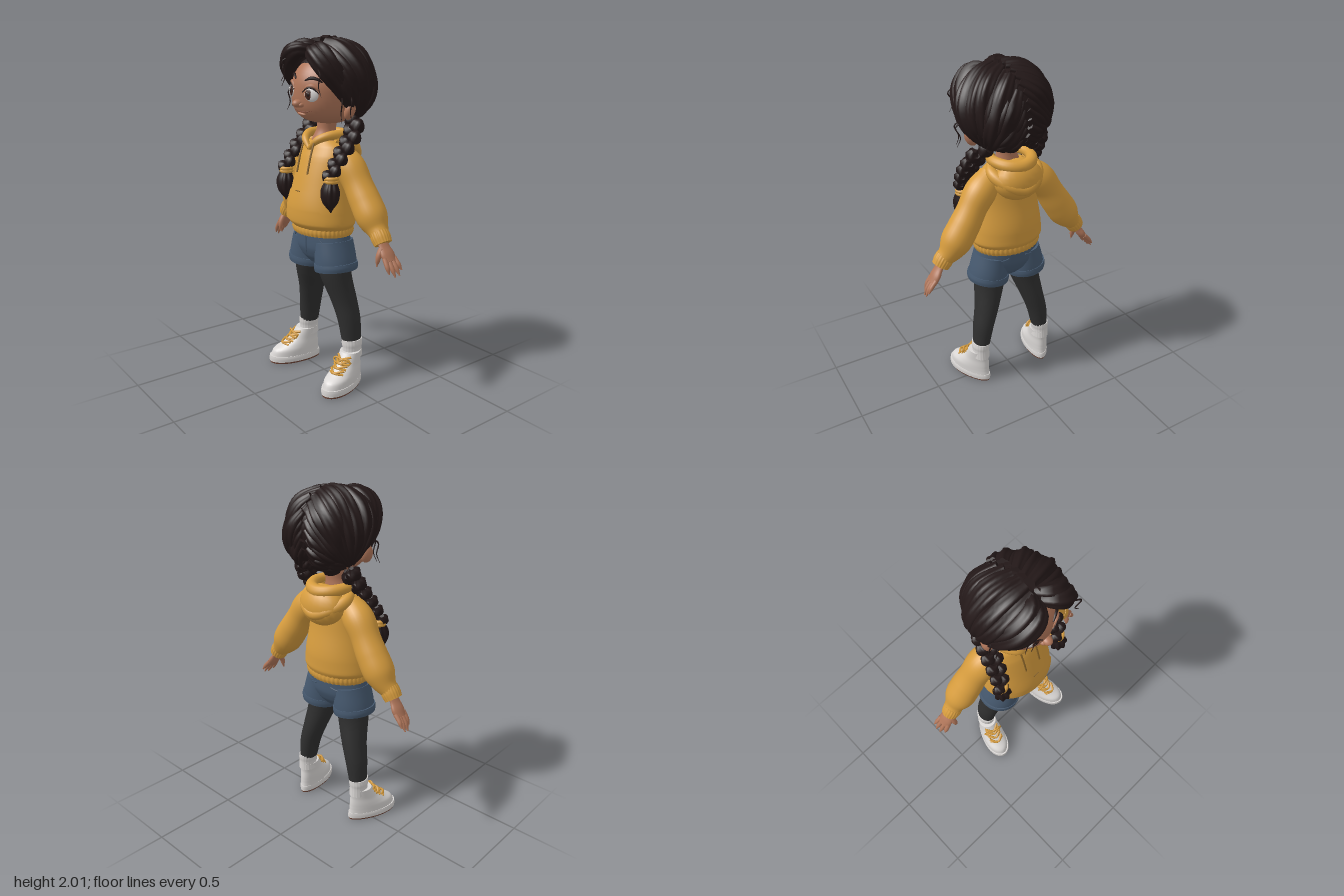
import * as THREE from 'three';
import { ParametricGeometry } from 'three/addons/geometries/ParametricGeometry.js';

const V = (x, y, z) => new THREE.Vector3(x, y, z);
const mat = (name, color, extra = {}) => new THREE.MeshStandardMaterial({ name, color, ...extra });
const M = {
  hair: mat('dark hair', 0x231818), skin: mat('skin', 0xb0765a), hoodie: mat('mustard', 0xd69c3e, { side: THREE.DoubleSide }),
  cord: mat('dark mustard', 0x8a6428), denim: mat('denim', 0x46596f), tights: mat('charcoal', 0x2f2f2f),
  white: mat('off white', 0xd9d6d4), sole: mat('brown sole', 0x6f4638), lip: mat('lip', 0x7a4436), iris: mat('iris', 0x42241c),
};

let seed = 7;
const rnd = () => (seed = (seed * 16807) % 2147483647) / 2147483647;

function add(parent, name, geo, material) {
  const m = new THREE.Mesh(geo, material);
  m.name = name;
  parent.add(m);
  return m;
}

// Closed, capped surface through rings of points
function skin(rows) {
  const n = rows[0].length, pos = [], idx = [];
  rows.forEach(r => r.forEach(p => pos.push(p.x, p.y, p.z)));
  for (let i = 0; i < rows.length - 1; i++) for (let j = 0; j < n; j++) {
    const a = i * n + j, b = i * n + (j + 1) % n, c = a + n, d = b + n;
    idx.push(a, b, c, b, d, c);
  }
  [rows[0], rows[rows.length - 1]].forEach((r, end) => {
    const base = pos.length / 3, c = V(0, 0, 0);
    r.forEach(p => { pos.push(p.x, p.y, p.z); c.addScaledVector(p, 1 / n); });
    pos.push(c.x, c.y, c.z);
    for (let j = 0; j < n; j++) {
      const a = base + j, b = base + (j + 1) % n;
      end ? idx.push(base + n, a, b) : idx.push(base + n, b, a);
    }
  });
  const g = new THREE.BufferGeometry();
  g.setAttribute('position', new THREE.Float32BufferAttribute(pos, 3));
  g.setIndex(idx);
  g.computeVertexNormals();
  return g;
}

// Smooth interpolation of sections [y, cx, cz, rx, rz]
function sectionAt(list) {
  const a = new THREE.CatmullRomCurve3(list.map(r => V(r[0], r[1], r[2])));
  const b = new THREE.CatmullRomCurve3(list.map(r => V(r[3], r[4], 0)));
  return t => { const p = a.getPoint(t), q = b.getPoint(t); return [p.x, p.y, p.z, q.x, q.y]; };
}

// Lofted rings; egg widens the front half
function rings(list, { radial = 32, ripple = 0, n = 0, slope = 0, steps = 5, egg = 0 } = {}) {
  const at = sectionAt(list), rows = [], count = (list.length - 1) * steps;
  for (let i = 0; i <= count; i++) {
    const [y, cx, cz, rx, rz] = at(i / count);
    rows.push(Array.from({ length: radial }, (_, j) => {
      const q = j / radial * Math.PI * 2, k = 1 + ripple * Math.cos(n * q);
      const x = rx * k * Math.cos(q) * (1 - egg * Math.sin(q));
      return V(cx + x, y + slope * x, cz - rz * k * Math.sin(q));
    }));
  }
  return skin(rows);
}

// Tapered sweep along a curve; up fixes the wide axis, flat squashes the other
function sweep(pts, rad, { seg = 16, radial = 12, ripple = 0, n = 5, up = null, flat = 1, twist = 0 } = {}) {
  const curve = new THREE.CatmullRomCurve3(pts), f = curve.computeFrenetFrames(seg), rows = [];
  const r = Array.isArray(rad) ? new THREE.SplineCurve(rad.map((v, i) => new THREE.Vector2(i, v))) : null;
  for (let i = 0; i <= seg; i++) {
    const t = i / seg, p = curve.getPointAt(t), T = f.tangents[i];
    const N = up ? up.clone().addScaledVector(T, -up.dot(T)).normalize() : f.normals[i];
    const B = T.clone().cross(N), R = r ? Math.max(r.getPoint(t).y, 0.0008) : rad;
    rows.push(Array.from({ length: radial }, (_, j) => {
      const q = j / radial * Math.PI * 2, k = R * (1 + ripple * Math.cos(n * q + twist * t));
      return p.clone().addScaledVector(N, k * Math.cos(q)).addScaledVector(B, k * flat * Math.sin(q));
    }));
  }
  return skin(rows);
}
const line = (pts, r) => sweep(pts, r, { seg: 12, radial: 6 });

function ball(parent, name, material, p, s, rot = [0, 0, 0]) {
  const m = add(parent, name, new THREE.SphereGeometry(1, 22, 14), material);
  m.position.set(...p); m.scale.set(...s); m.rotation.set(...rot);
}

// Face surface: round skull, fuller jaw
const HX = 0.187, HY = 0.19, HZ = 0.2;
const faceR = v => { const e = v < 0 ? 2.9 : 2; return Math.pow(Math.max(0, 1 - Math.abs(v) ** e), 1 / e); };
const onFace = (x, y, off = 0) => V(x, y, HZ * Math.sqrt(Math.max(0, faceR(y / HY) ** 2 - (x / HX) ** 2)) + off);

function buildHead() {
  const head = new THREE.Group();
  head.name = 'head';
  const rows = [];
  for (let i = 0; i <= 30; i++) {
    const v = -Math.cos(i / 30 * Math.PI), r = Math.max(faceR(v), 0.005);
    rows.push(Array.from({ length: 40 }, (_, j) => {
      const q = j / 40 * Math.PI * 2;
      return V(HX * r * Math.cos(q), HY * v, -HZ * r * Math.sin(q));
    }));
  }
  add(head, 'face', skin(rows), M.skin);
  ball(head, 'nose', M.skin, [0.006, -0.078, 0.203], [0.026, 0.022, 0.032]);
  for (const s of [-1, 1]) {
    ball(head, 'nostril', M.skin, [0.006 + s * 0.022, -0.083, 0.194], [0.014, 0.013, 0.018]);
    ball(head, 'ear', M.skin, [s * 0.212, -0.09, 0.005], [0.028, 0.052, 0.036], [0, s * 0.4, -s * 0.25]);
    const e = onFace(s * 0.083, -0.02);
    ball(head, 'eye', M.white, [e.x, e.y, e.z - 0.006], [0.041, 0.038, 0.016], [0, s * 0.45, 0]);
    ball(head, 'iris', M.iris, [e.x - s * 0.006, e.y, e.z + 0.005], [0.027, 0.029, 0.009], [0, s * 0.4, 0]);
    ball(head, 'pupil', M.hair, [e.x - s * 0.007, e.y, e.z + 0.009], [0.014, 0.015, 0.007], [0, s * 0.4, 0]);
    ball(head, 'eyeGlint', M.white, [e.x - s * 0.007 - 0.008, e.y + 0.01, e.z + 0.014], [0.005, 0.005, 0.003]);
    const arc = (y, h, w, off) => [-1, -0.5, 0, 0.5, 1].map(k => onFace(s * 0.083 + k * w, y + h * (1 - k * k), off));
    add(head, 'eyelash', sweep(arc(-0.012, 0.03, 0.043, 0.008), [0.002, 0.005, 0.002], { radial: 8 }), M.hair);
    add(head, 'eyelid', sweep(arc(-0.005, 0.033, 0.044, 0), [0.004, 0.012, 0.004], { radial: 8 }), M.skin);
    add(head, 'eyebrow', sweep(arc(0.05, 0.017, 0.043, 0.002), [0.004, 0.009, 0.008, 0.004], { radial: 8 }), M.hair);
  }
  const smile = [-0.07, -0.04, 0, 0.04, 0.08].map(x => onFace(x + 0.004, -0.124 + 2.6 * x * x, -0.0005));
  add(head, 'mouth', sweep(smile, [0.001, 0.0025, 0.003, 0.0025, 0.001], { radial: 8 }), M.lip);
  ball(head, 'lowerLip', M.skin, [0.004, -0.136, 0.168], [0.034, 0.009, 0.014]);

  // Hair: inner cap and overlapping wavy locks combed from the parting to each braid
  ball(head, 'scalpHair', M.hair, [0, 0.05, -0.04], [0.215, 0.2, 0.2]);
  ball(head, 'napeHair', M.hair, [0, -0.075, -0.105], [0.19, 0.1, 0.1]);
  const place = (d, k) => V(d.x * 0.25 * k, d.y * 0.245 * k + 0.03, d.z * 0.225 * k - 0.02);
  for (const s of [-1, 1]) for (let i = 0; i < 16; i++) {
    const a = THREE.MathUtils.degToRad(50 + i * 12), k = 0.84 + rnd() * 0.07, phase = rnd() * 6;
    const S = V(s * 0.05, Math.sin(a), Math.cos(a)).normalize();
    const E = V(s * 0.71, -0.68 - i * 0.012, -0.24 - i * 0.015).normalize();
    const w = S.angleTo(E), pts = [];
    for (let j = 0; j <= 7; j++) {
      const t = j / 7, wave = k + 0.03 * Math.sin(t * 9 + phase) * Math.sin(t * Math.PI);
      pts.push(place(S.clone().multiplyScalar(Math.sin((1 - t) * w)).addScaledVector(E, Math.sin(t * w)).divideScalar(Math.sin(w)), wave));
    }
    const g = (i === 0 ? 0.75 : 1) * (0.92 + rnd() * 0.22);
    add(head, 'hairLock', sweep(pts, [0.03, 0.043, 0.045, 0.042, 0.032].map(r => r * g),
      { seg: 22, radial: 24, ripple: 0.11, n: 6, twist: 3 + rnd() * 4 }), M.hair);
  }
  // Full front sweep on each side of the parting
  for (const s of [-1, 1]) for (const [lift, out] of [[0, 0], [0.018, -0.045]]) {
    add(head, 'frontLock', sweep([V(s * 0.012, 0.195 + lift, 0.11 + out), V(s * 0.07, 0.198 + lift, 0.172 + out), V(s * 0.15, 0.135 + lift, 0.165 + out),
      V(s * 0.2, 0.04 + lift, 0.1 + out), V(s * 0.212, -0.06, 0.02 + out)], [0.028, 0.046, 0.046, 0.036, 0.02],
    { seg: 24, radial: 24, ripple: 0.1, n: 6, twist: 4 }), M.hair);
  }
  // Loose wisps
  for (const [x, y, z, dx] of [[-0.08, 0.16, 0.19, -0.05], [-0.12, 0.13, 0.17, -0.03], [0.13, 0.13, 0.19, 0.07],
    [-0.2, -0.02, 0.06, -0.03], [0.21, -0.01, 0.07, 0.04], [0.22, 0, 0.02, 0.05], [-0.21, 0, 0.02, -0.03]]) {
    add(head, 'wisp', sweep([V(x, y, z), V(x + dx, y - 0.03, z + 0.03), V(x + dx * 0.7, y - 0.09, z + 0.02),
      V(x + dx * 1.2, y - 0.14, z + 0.025)], [0.005, 0.004, 0.003, 0.001], { radial: 6 }), M.hair);
  }
  head.position.set(0.026, 1.72, 0);
  head.rotation.set(0, 0.05, -0.12);
  return head;
}

function buildBraid(pts) {
  const g = new THREE.Group(), c = new THREE.CatmullRomCurve3(pts);
  g.name = 'braid';
  for (let i = 0; i < 11; i++) {
    const p = c.getPointAt(i / 10), s = i % 2 ? 1 : -1, k = 1.08 - i * 0.027;
    add(g, 'braidStrand', sweep([V(s * 0.03, 0.032, -0.008), V(s * 0.028, 0.004, 0.012), V(-s * 0.012, -0.034, 0.012)]
      .map(q => q.multiplyScalar(k).add(p)), [0.012, 0.036 * k, 0.034 * k, 0.01], { seg: 10, radial: 20, ripple: 0.12, n: 5, twist: 2 }), M.hair);
  }
  const e = pts[pts.length - 1];
  for (const dy of [-0.012, -0.028]) {
    const tie = add(g, 'hairTie', new THREE.TorusGeometry(0.03, 0.012, 8, 20), M.hoodie);
    tie.position.set(e.x, e.y + dy, e.z); tie.rotation.x = Math.PI / 2;
  }
  add(g, 'braidTail', sweep([V(0, -0.02, 0), V(0, -0.08, 0.008), V(0.004, -0.14, 0.01), V(0.008, -0.2, 0.01)].map(q => q.add(e)),
    [0.028, 0.047, 0.04, 0.002], { radial: 32, ripple: 0.13, n: 8, twist: 1 }), M.hair);
  return g;
}

function buildHoodie() {
  const g = new THREE.Group();
  g.name = 'hoodie';
  const body = [[0.935, 0, 0.01, 0.203, 0.157], [0.97, 0, 0.018, 0.224, 0.178], [1.05, 0, 0.02, 0.215, 0.178],
    [1.2, 0, 0.016, 0.19, 0.148], [1.34, 0, 0, 0.18, 0.12], [1.4, 0, -0.01, 0.155, 0.1], [1.43, 0, -0.01, 0.11, 0.08]];
  add(g, 'hoodieBody', rings(body, { radial: 48 }), M.hoodie);
  add(g, 'hoodieHem', rings([[0.895, 0, 0.01, 0.197, 0.152], [0.92, 0, 0.01, 0.206, 0.161], [0.95, 0, 0.01, 0.202, 0.156]],
    { radial: 176, ripple: 0.014, n: 44, steps: 2 }), M.hoodie);
  // Front pouch pocket with slanted openings
  const at = sectionAt(body), width = v => 0.95 - 0.42 * Math.max(0, (v - 0.3) / 0.7);
  const pocketPoint = (u, v, off) => {
    const [y, , cz, rx, rz] = at(0.17 + v * 0.29), q = (u * 2 - 1) * width(v);
    return V((rx + off) * Math.sin(q), y, cz + (rz + off) * Math.cos(q));
  };
  add(g, 'frontPocket', new ParametricGeometry((u, v, t) =>
    t.copy(pocketPoint(u, v, Math.min(u, 1 - u, v, 1 - v) < 0.02 ? -0.004 : 0.009)), 32, 20), M.hoodie);
  add(g, 'pocketStitch', line([0.42, 0.5, 0.58].map(u => pocketPoint(u, 0.96, 0.009)), 0.003), M.cord);
  // Hood lying on the back, with rolled edge and folds
  ball(g, 'hoodPouch', M.hoodie, [0, 1.36, -0.125], [0.148, 0.115, 0.092], [0.2, 0, 0]);
  const mirrorPath = half => [...half.map(p => V(-p[0], p[1], p[2])), ...half.slice(0, -1).reverse().map(p => V(...p))];
  add(g, 'hoodEdge', sweep(mirrorPath([[0, 1.388, 0.105], [0.055, 1.435, 0.09], [0.1, 1.462, 0.03], [0.113, 1.462, -0.06], [0.07, 1.452, -0.135], [0, 1.445, -0.16]]),
    [0.012, 0.022, 0.026, 0.03, 0.034, 0.036, 0.034, 0.03, 0.026, 0.022, 0.012], { seg: 50, radial: 14 }), M.hoodie);
  add(g, 'hoodFold', sweep(mirrorPath([[0.11, 1.44, 0], [0.138, 1.4, -0.08], [0.085, 1.35, -0.165], [0, 1.32, -0.192]]),
    [0.02, 0.034, 0.034, 0.032, 0.034, 0.034, 0.02], { seg: 36, radial: 14 }), M.hoodie);
  for (const s of [-1, 1]) {
    add(g, 'drawstring', line([V(s * 0.05, 1.43, 0.105), V(s * 0.05, 1.36, 0.128), V(s * 0.05, 1.25, 0.155)], 0.0055), M.cord);
    // Sleeve and ribbed cuff
    add(g, 'sleeve', sweep([V(s * 0.11, 1.36, -0.015), V(s * 0.2, 1.28, -0.035), V(s * 0.295, 1.135, -0.05), V(s * 0.37, 1.025, -0.055),
      V(s * 0.405, 0.98, -0.055), V(s * 0.435, 0.95, -0.05)], [0.075, 0.09, 0.083, 0.088, 0.087, 0.052], { seg: 36, radial: 28 }), M.hoodie);
    add(g, 'sleeveCuff', sweep([V(s * 0.425, 0.965, -0.05), V(s * 0.445, 0.935, -0.05), V(s * 0.463, 0.908, -0.05)], [0.052, 0.054, 0.049],
      { seg: 5, radial: 80, ripple: 0.03, n: 20 }), M.hoodie);
  }
  return g;
}

function buildHand(s) {
  const g = new THREE.Group(), z = V(0, 0, 1);
  g.name = 'hand';
  add(g, 'palm', sweep([V(s * 0.45, 0.93, -0.05), V(s * 0.475, 0.89, -0.05), V(s * 0.5, 0.85, -0.053), V(s * 0.52, 0.82, -0.055)],
    [0.034, 0.036, 0.045, 0.04], { up: z, flat: 0.5, radial: 20 }), M.skin);
  [[-0.018, 0.55, 0.762], [-0.044, 0.568, 0.745], [-0.07, 0.57, 0.752], [-0.09, 0.562, 0.778]].forEach(([fz, x, y]) =>
    add(g, 'finger', sweep([V(s * 0.508, 0.84, fz * 0.9 - 0.005), V(s * (x + 0.516) / 2, (y + 0.84) / 2, fz), V(s * x, y, fz * 1.08)],
      [0.014, 0.0135, 0.012, 0.004]), M.skin));
  add(g, 'thumb', sweep([V(s * 0.475, 0.885, -0.03), V(s * 0.474, 0.845, -0.008), V(s * 0.47, 0.79, 0)], [0.019, 0.017, 0.013, 0.003]), M.skin);
  return g;
}

function buildShorts() {
  const g = new THREE.Group();
  g.name = 'shorts';
  add(g, 'shortsHips', rings([[0.715, 0, 0.01, 0.1, 0.07], [0.76, 0, 0.01, 0.18, 0.108], [0.82, 0, 0.01, 0.21, 0.13], [0.92, 0, 0.01, 0.19, 0.132]]), M.denim);
  add(g, 'flySeam', line([V(0.012, 0.9, 0.142), V(0.014, 0.83, 0.141), V(0, 0.775, 0.125)], 0.004), M.denim);
  for (const s of [-1, 1]) {
    add(g, 'shortsLeg', rings([[0.695, s * 0.128, 0.01, 0.119, 0.124], [0.76, s * 0.122, 0.01, 0.112, 0.125], [0.86, s * 0.105, 0.01, 0.1, 0.118]], { slope: s * 0.12 }), M.denim);
    add(g, 'shortsCuff', rings([[0.69, s * 0.129, 0.01, 0.121, 0.127], [0.712, s * 0.128, 0.01, 0.125, 0.13], [0.733, s * 0.126, 0.01, 0.122, 0.128]], { slope: s * 0.12, steps: 3 }), M.denim);
    add(g, 'frontPocketSeam', line([V(s * 0.1, 0.9, 0.123), V(s * 0.135, 0.86, 0.113), V(s * 0.19, 0.835, 0.07)], 0.004), M.denim);
    add(g, 'backPocketSeam', line([V(s * 0.055, 0.86, -0.118), V(s * 0.1, 0.85, -0.107), V(s * 0.15, 0.86, -0.08)], 0.004), M.denim);
  }
  return g;
}

function buildLeg(s) {
  const g = new THREE.Group();
  g.name = 'leg';
  add(g, 'tights', rings([[0.26, s * 0.212, -0.042, 0.049, 0.061], [0.39, s * 0.192, -0.038, 0.062, 0.071],
    [0.5, s * 0.162, -0.025, 0.072, 0.079], [0.66, s * 0.122, 0.008, 0.092, 0.094], [0.75, s * 0.11, 0.01, 0.1, 0.1]]), M.tights);
  add(g, 'sock', rings([[0.17, s * 0.218, -0.042, 0.052, 0.064], [0.225, s * 0.218, -0.042, 0.049, 0.061], [0.25, s * 0.217, -0.042, 0.053, 0.064],
    [0.276, s * 0.214, -0.042, 0.052, 0.064]], { radial: 80, ripple: 0.012, n: 20, steps: 3 }), M.white);
  // Shoe, wider at the toe and turned outwards
  const shoe = new THREE.Group();
  shoe.name = 'shoe';
  g.add(shoe);
  add(shoe, 'outsole', rings([[0, 0, 0.046, 0.072, 0.164], [0.012, 0, 0.046, 0.075, 0.166]], { steps: 1, egg: 0.2 }), M.sole);
  add(shoe, 'midsole', rings([[0.011, 0, 0.046, 0.077, 0.168], [0.03, 0, 0.046, 0.078, 0.168], [0.046, 0, 0.046, 0.075, 0.166]], { steps: 3, egg: 0.2 }), M.white);
  add(shoe, 'shoeUpper', rings([[0.04, 0, 0.045, 0.073, 0.161], [0.08, 0, 0.038, 0.073, 0.15], [0.11, 0, 0.012, 0.068, 0.122],
    [0.15, 0, -0.016, 0.06, 0.09], [0.21, 0, -0.04, 0.058, 0.07]], { egg: 0.15 }), M.white);
  [[0.118, 0.122], [0.138, 0.093], [0.158, 0.07], [0.178, 0.054]].forEach(([y, z]) => {
    for (const d of [-1, 1]) add(shoe, 'lace', line([V(-d * 0.045, y - 0.006, z - 0.02), V(0, y + 0.004, z + 0.008), V(d * 0.045, y + 0.014, z - 0.03)], 0.007), M.hoodie);
  });
  for (const d of [-1, 1]) add(shoe, 'laceBow', line([V(0, 0.18, 0.058), V(d * 0.035, 0.19, 0.062), V(d * 0.06, 0.165, 0.05), V(d * 0.03, 0.16, 0.068), V(0, 0.175, 0.06)], 0.006), M.hoodie);
  shoe.position.set(s * 0.233, 0, 0.006);
  shoe.rotation.y = s * 0.27;
  return g;
}

export function createModel() {
  const model = new THREE.Group();
  model.name = 'girl';
  model.add(buildHead(), buildHoodie(), buildShorts());
  add(model, 'neck', rings([[1.38, 0, 0.01, 0.09, 0.085], [1.44, 0.002, 0, 0.07, 0.068], [1.5, 0.01, -0.01, 0.054, 0.055], [1.58, 0.02, -0.01, 0.056, 0.058]]), M.skin);
  model.add(buildBraid([V(-0.15, 1.56, -0.08), V(-0.165, 1.48, -0.03), V(-0.185, 1.38, 0.045), V(-0.21, 1.26, 0.12)]));
  model.add(buildBraid([V(0.195, 1.55, -0.08), V(0.228, 1.47, -0.03), V(0.235, 1.38, 0.045), V(0.225, 1.26, 0.12)]));
  for (const s of [-1, 1]) model.add(buildHand(s), buildLeg(s));
  return model;
}
